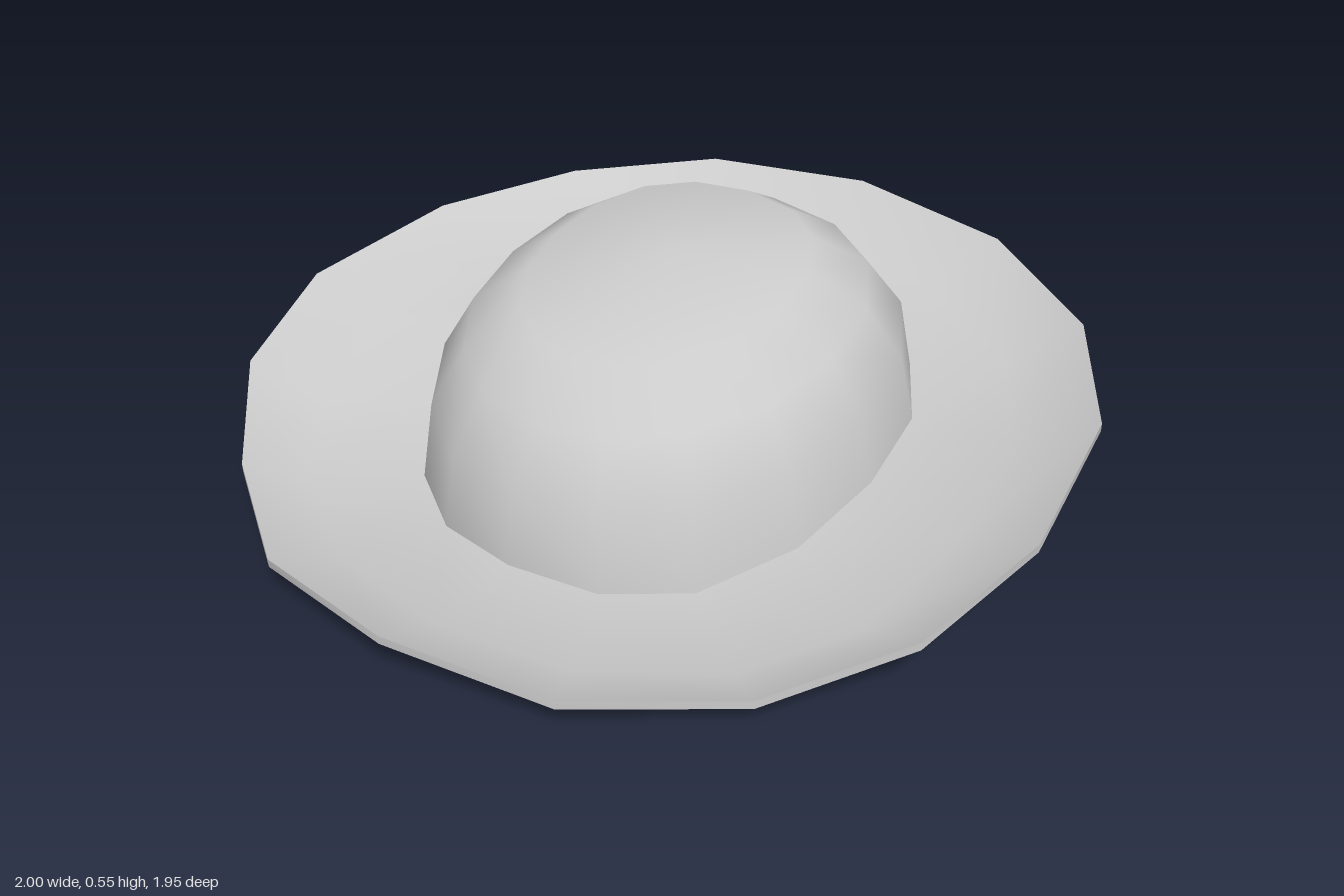
import * as THREE from 'three';

// Half outlines run from the back, round the left side, to the front: [x, y, z]
const rim = [[0, .34, -.98], [.43, .32, -.91], [.76, .28, -.69], [.95, .26, -.34], [1, .23, .1],
  [.91, .165, .43], [.69, .09, .68], [.38, .095, .9], [0, .12, .97]];
const bend = [[0, .22, -.81], [.35, .21, -.75], [.62, .175, -.58], [.77, .17, -.29], [.82, .145, .05],
  [.75, .07, .36], [.58, .025, .58], [.31, .025, .75], [0, .04, .81]];
const band = [[0, .175, -.63], [.24, .17, -.59], [.42, .165, -.47], [.53, .155, -.27], [.555, .125, -.03],
  [.51, .075, .21], [.38, .025, .41], [.21, .025, .53], [0, .035, .57]];

// Complete a half outline by mirroring it across x = 0
const ring = half => [...half, ...half.slice(1, -1).reverse().map(([x, y, z]) => [-x, y, z])];
const lower = (points, d) => points.map(([x, y, z]) => [x, y - d, z]);

// Smooth skin through a list of rings; a ring of one point closes the end
function loft(name, rings) {
  const n = 16, positions = [], index = [], starts = [];
  for (const r of rings) {
    starts.push(positions.length / 3);
    positions.push(...r.flat());
  }
  for (let i = 0; i < rings.length - 1; i++) {
    const at = (k, j) => starts[k] + j % rings[k].length;
    for (let j = 0; j < n; j++) {
      const a = at(i, j), b = at(i, j + 1), c = at(i + 1, j + 1), d = at(i + 1, j);
      if (c !== d) index.push(a, d, c);
      if (a !== b) index.push(a, c, b);
    }
  }
  const geometry = new THREE.BufferGeometry();
  geometry.setAttribute('position', new THREE.Float32BufferAttribute(positions, 3));
  geometry.setIndex(index);
  geometry.computeVertexNormals();
  const material = new THREE.MeshStandardMaterial({ color: 0xcccccc, side: THREE.DoubleSide });
  const mesh = new THREE.Mesh(geometry, material);
  mesh.name = name;
  return mesh;
}

export function createModel() {
  const hat = new THREE.Group();
  hat.name = 'hat';
  const outer = ring(rim), middle = ring(bend), inner = ring(band);
  const t = 0.02;

  // Brim: upper skin, thin edge, and underside closed below the crown
  const brim = new THREE.Group();
  brim.name = 'brim';
  brim.add(
    loft('brimTop', [outer, middle, inner]),
    loft('brimEdge', [lower(outer, t), outer]),
    loft('brimUnderside', [[[0, .11, -.03]], lower(inner, t), lower(middle, t), lower(outer, t)])
  );

  // Crown: rings tilted up towards the back [half width, front z, front y, back z, back y]
  const levels = [[.52, .545, .2, -.6, .36], [.44, .46, .34, -.505, .48], [.31, .33, .44, -.38, .55]];
  const tilted = levels.map(([w, zf, yf, zb, yb]) => inner.map(([x, , z]) => {
    const f = (z + .63) / 1.2;
    return [x * w / .555, yb + (yf - yb) * f, zb + (zf - zb) * f];
  }));
  const crown = loft('crown', [inner, ...tilted, [[0, .53, -.06]]]);

  hat.add(brim, crown);
  return hat;
}
